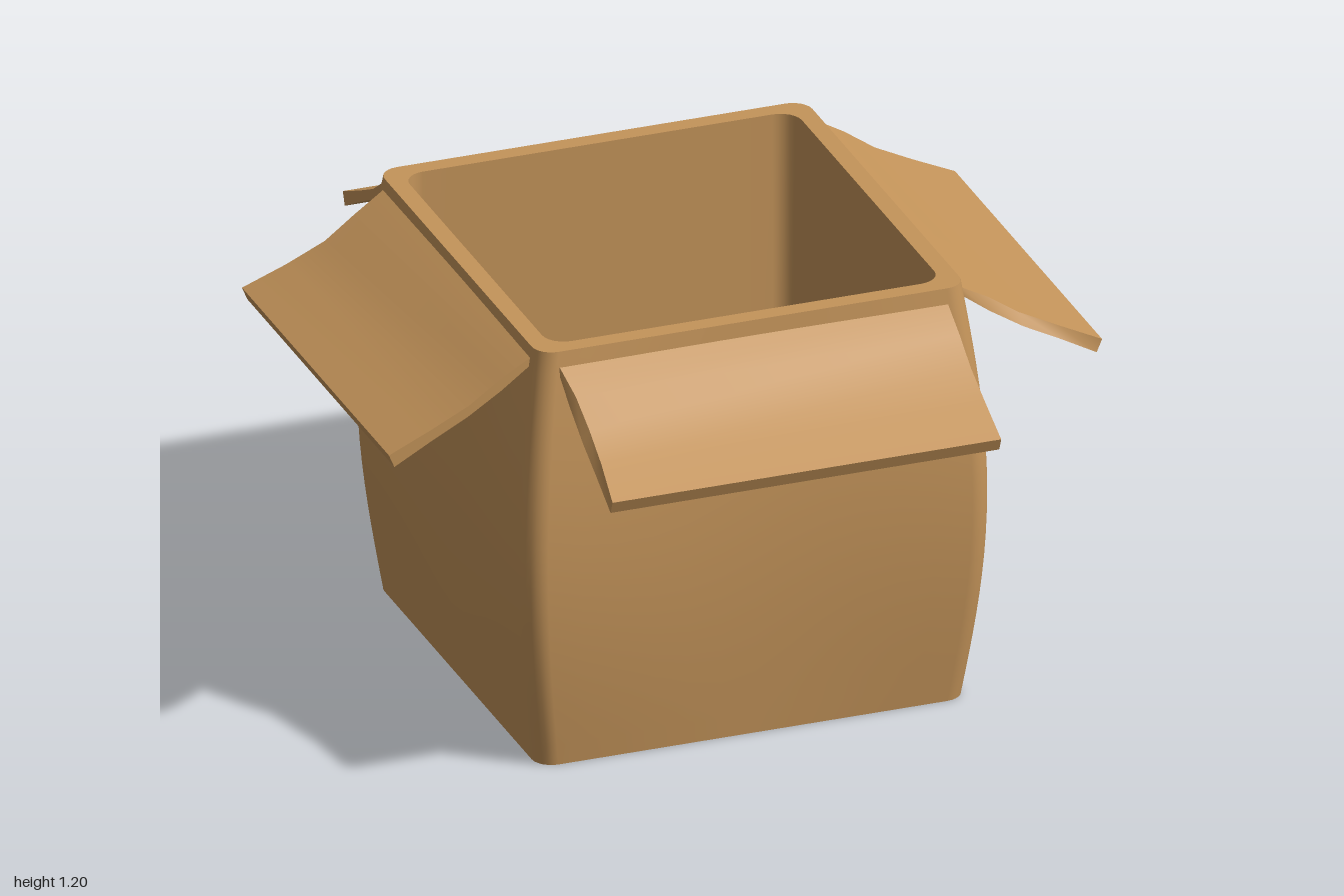
import * as THREE from 'three';
import { mergeVertices, mergeGeometries } from 'three/addons/utils/BufferGeometryUtils.js';

const HEIGHT = 1.2;

// Smooth surface patch; point(i, j) returns [x, y, z]
function patch(cols, rows, point) {
  const pos = [], idx = [];
  for (let j = 0; j <= rows; j++)
    for (let i = 0; i <= cols; i++) pos.push(...point(i, j));
  for (let j = 0; j < rows; j++)
    for (let i = 0; i < cols; i++) {
      const a = j * (cols + 1) + i, b = a + 1, c = a + cols + 1, d = c + 1;
      idx.push(a, c, b, b, c, d);
    }
  let geo = new THREE.BufferGeometry();
  geo.setAttribute('position', new THREE.Float32BufferAttribute(pos, 3));
  geo.setIndex(idx);
  geo = mergeVertices(geo, 1e-5);
  geo.computeVertexNormals();
  return geo;
}

// Closed outline of a square with rounded corners
function outline(half, radius) {
  const pts = [], flat = half - radius;
  for (let side = 0; side < 4; side++) {
    const turn = side * Math.PI / 2, c = Math.cos(turn), s = Math.sin(turn);
    const add = (x, z) => pts.push(new THREE.Vector2(x * c - z * s, x * s + z * c));
    for (let k = 0; k < 12; k++) add(half, -flat + 2 * flat * k / 12);
    for (let k = 0; k < 6; k++) {
      const a = k / 6 * Math.PI / 2;
      add(flat + radius * Math.cos(a), flat + radius * Math.sin(a));
    }
  }
  return pts;
}

// Cardboard flap with a soft fold and one scooped end, hanging towards +z
function flapGeometry() {
  const top = [[0.6, 1.168], [0.69, 1.115], [0.775, 1.055], [0.88, 1.003], [1, 0.948]];
  const under = [[0.595, 1.15], [0.685, 1.083], [0.78, 1.022], [0.88, 0.97], [0.985, 0.912]];
  const w = 0.545, n = top.length - 1;
  const ring = (k) => {
    const scoop = 0.02 * Math.sin(Math.PI * k / n);
    const [tz, ty] = top[k], [uz, uy] = under[k];
    return [[-w + scoop, ty, tz], [w, ty, tz], [w, uy, uz], [-w, uy, uz]];
  };
  const faces = [];
  for (let c = 0; c < 4; c++)
    faces.push(patch(1, n, (i, j) => ring(j)[(c + i) % 4]));
  // Outer edge and hinge edge
  const strip = (k, a, b) => patch(1, 1, (i, j) => ring(k)[j ? b[i] : a[i]]);
  faces.push(strip(n, [0, 1], [3, 2]), strip(0, [3, 2], [0, 1]));
  return mergeGeometries(faces);
}

export function createModel() {
  const box = new THREE.Group();
  box.name = 'openCardboardBox';
  const cardboard = new THREE.MeshStandardMaterial({ color: 0xc4945a });
  cardboard.name = 'cardboard';
  const add = (name, geo) => {
    const mesh = new THREE.Mesh(geo, cardboard);
    mesh.name = name;
    box.add(mesh);
    return mesh;
  };

  const outer = outline(0.6, 0.055), inner = outline(0.55, 0.06);
  const count = outer.length, rows = 20;

  // Outer walls: corners swell at mid-height, wall centres swell less
  add('outerWalls', patch(count, rows, (i, j) => {
    const p = outer[i % count], y = HEIGHT * j / rows;
    const swell = Math.sin(Math.PI * j / rows);
    const scale = 1 + 0.092 * swell;
    const dent = (along) => 0.02 * swell * Math.max(0, Math.cos(Math.PI * along / 1.2)) ** 2;
    const x = p.x * scale - Math.sign(p.x) * (Math.abs(p.x) > 0.59 ? dent(p.y) : 0);
    const z = p.y * scale - Math.sign(p.y) * (Math.abs(p.y) > 0.59 ? dent(p.x) : 0);
    return [x, y, z];
  }));

  // Straight inner walls
  add('innerWalls', patch(count, 1, (i, j) => {
    const p = inner[(count - i) % count];
    return [p.x, j ? HEIGHT : 0.05, p.y];
  }));

  // Rim between inner and outer walls
  const rimShape = new THREE.Shape(outer);
  rimShape.holes.push(new THREE.Path(inner));
  add('rim', new THREE.ShapeGeometry(rimShape).rotateX(-Math.PI / 2)).position.y = HEIGHT;

  // Floor inside and underside
  add('floor', new THREE.ShapeGeometry(new THREE.Shape(inner)).rotateX(-Math.PI / 2)).position.y = 0.05;
  add('underside', new THREE.ShapeGeometry(new THREE.Shape(outer)).rotateX(Math.PI / 2));

  // Four flaps folded outward
  const flap = flapGeometry();
  ['frontFlap', 'leftFlap', 'backFlap', 'rightFlap'].forEach((name, k) => {
    const mesh = add(name, flap);
    mesh.rotation.y = k * Math.PI / 2;
    mesh.position.y = k === 0 ? -0.008 : 0.003;
  });
  return box;
}
